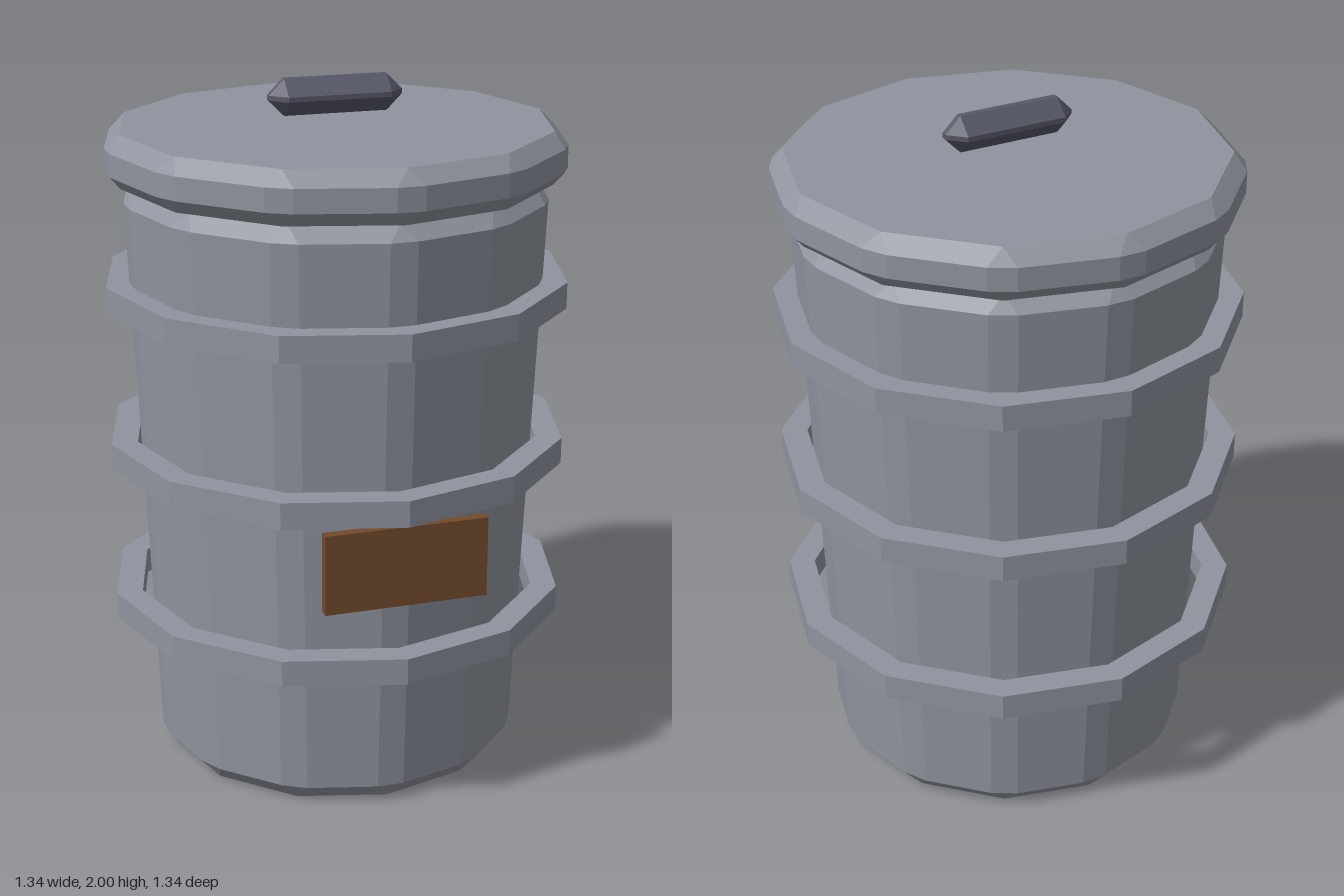
import * as THREE from 'three';
import { ConvexGeometry } from 'three/addons/geometries/ConvexGeometry.js';

const SIDES = 12;

// Tapered 12-sided drum whose every edge has a single flat bevel
function beveledDrum(levels) {
  const points = [];
  for (const { r, y, cut } of levels) {
    for (let i = 0; i < SIDES; i++) {
      const corner = (k) => {
        const a = (k / SIDES) * Math.PI * 2;
        return new THREE.Vector3(Math.sin(a) * r, y, Math.cos(a) * r);
      };
      const c = corner(i);
      if (!cut) { points.push(c); continue; }
      for (const n of [-1, 1]) {
        const dir = corner(i + n).sub(c).normalize();
        points.push(c.clone().addScaledVector(dir, cut));
      }
    }
  }
  return new ConvexGeometry(points);
}

// Box with wide flat bevels on all edges
function beveledBox(hx, hy, hz, b) {
  const points = [];
  for (const sx of [-1, 1]) for (const sy of [-1, 1]) for (const sz of [-1, 1]) {
    points.push(
      new THREE.Vector3(sx * hx, sy * (hy - b), sz * (hz - b)),
      new THREE.Vector3(sx * (hx - b), sy * hy, sz * (hz - b)),
      new THREE.Vector3(sx * (hx - b), sy * (hy - b), sz * hz)
    );
  }
  return new ConvexGeometry(points);
}

// Faceted hoop with a square section
function hoop(inner, outer, height) {
  const h = height / 2;
  const profile = [[outer, -h], [outer, h], [inner, h], [inner, -h], [outer, -h]]
    .map(([x, y]) => new THREE.Vector2(x, y));
  const g = new THREE.LatheGeometry(profile, SIDES).toNonIndexed();
  g.computeVertexNormals();
  return g;
}

export function createModel() {
  const steel = new THREE.MeshStandardMaterial({ color: 0x8f949e });
  steel.name = 'steel grey';
  const dark = new THREE.MeshStandardMaterial({ color: 0x585a69 });
  dark.name = 'dark grey';
  const rust = new THREE.MeshStandardMaterial({ color: 0x734a2b });
  rust.name = 'rust brown';

  const group = new THREE.Group();
  group.name = 'trashCan';
  const add = (name, geometry, material, x = 0, y = 0, z = 0) => {
    const mesh = new THREE.Mesh(geometry, material);
    mesh.name = name;
    mesh.position.set(x, y, z);
    group.add(mesh);
  };

  // Tapered body
  add('body', beveledDrum([
    { r: 0.5, y: 0 },
    { r: 0.545, y: 0.05, cut: 0.04 },
    { r: 0.615, y: 1.67, cut: 0.04 },
    { r: 0.57, y: 1.715 },
  ]), steel);

  // Lid
  add('lid', beveledDrum([
    { r: 0.62, y: 1.72 },
    { r: 0.665, y: 1.762, cut: 0.04 },
    { r: 0.665, y: 1.828, cut: 0.04 },
    { r: 0.62, y: 1.87 },
  ]), steel);

  // Hoops standing slightly off the body
  [0.472, 0.938, 1.403].forEach((y, i) =>
    add(`hoop${i + 1}`, hoop(0.593, 0.67, 0.076), steel, 0, y, 0));

  // Lid handle
  add('handle', beveledBox(0.195, 0.052, 0.054, 0.045), dark, 0, 1.948, 0);

  // Rust patch on the front
  add('rustPatch', new THREE.BoxGeometry(0.464, 0.23, 0.03), rust, 0, 0.78, 0.638);

  return group;
}
